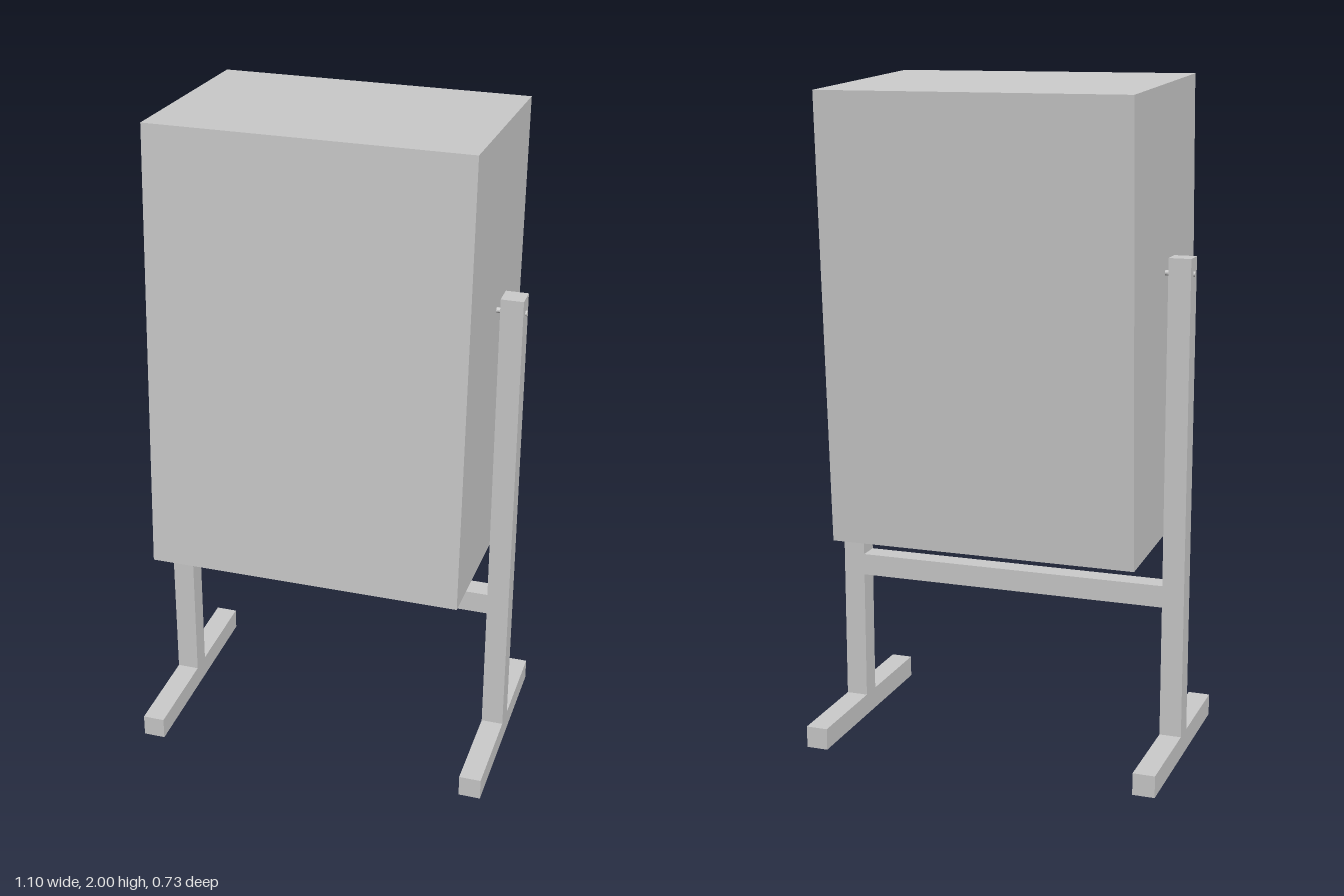
import * as THREE from 'three';

const material = new THREE.MeshStandardMaterial({ color: 0xcccccc, flatShading: true });
const shellMaterial = new THREE.MeshStandardMaterial({ color: 0xcccccc, flatShading: true, side: THREE.DoubleSide });

const BAR = 0.066;      // square section of the frame timber
const POST_X = 0.511;   // post centre line
const FRAME_Z = -0.008; // frame plane

function addMesh(parent, name, geometry, x, y, z, mat = material) {
  const mesh = new THREE.Mesh(geometry, mat);
  mesh.name = name;
  mesh.position.set(x, y, z);
  parent.add(mesh);
  return mesh;
}

// Box without its underside
function openBottomBox(w, h, d) {
  const geometry = new THREE.BoxGeometry(w, h, d);
  const index = Array.from(geometry.index.array);
  index.splice(18, 6); // drop the -y face
  geometry.setIndex(index);
  geometry.clearGroups();
  return geometry;
}

export function createModel() {
  const model = new THREE.Group();
  model.name = 'tiltingBoxOnStand';

  // Large box, leaning back on its pivots
  const box = addMesh(model, 'tiltingBox', new THREE.BoxGeometry(0.923, 1.319, 0.659), 0, 1.325, 0);
  box.rotation.x = -THREE.MathUtils.degToRad(3);

  // Side frames: hollow foot, post and pivot pin
  for (const [side, s] of [['left', 1], ['right', -1]]) {
    const frame = new THREE.Group();
    frame.name = side + 'Frame';
    addMesh(frame, side + 'Foot', openBottomBox(BAR, BAR, 0.659), s * POST_X, BAR / 2, FRAME_Z, shellMaterial);
    addMesh(frame, side + 'Post', new THREE.BoxGeometry(BAR, 1.5, BAR), s * POST_X, 0.75, FRAME_Z);
    const pin = addMesh(frame, side + 'PivotPin', new THREE.CylinderGeometry(0.008, 0.008, 0.1, 16), s * 0.499, 1.453, FRAME_Z);
    pin.rotation.z = Math.PI / 2;
    model.add(frame);
  }

  // Rail joining the posts
  addMesh(model, 'crossRail', new THREE.BoxGeometry(2 * POST_X - BAR, BAR, BAR), 0, 0.498, FRAME_Z);

  return model;
}
